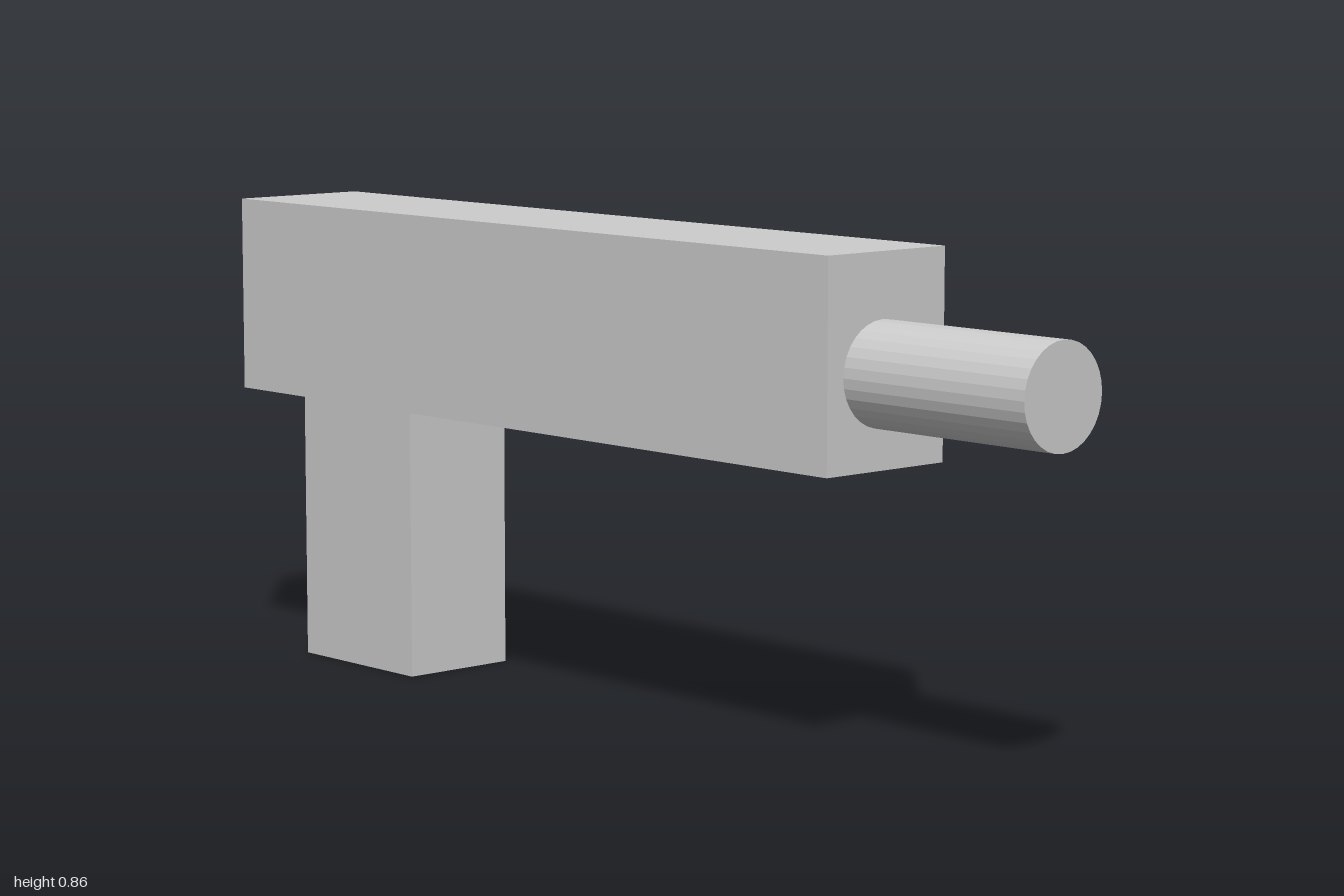
import * as THREE from 'three';

export function createModel() {
  const group = new THREE.Group();
  const grey = new THREE.MeshStandardMaterial({ color: 0xcccccc, flatShading: true });
  grey.name = 'grey';

  const add = (name, geometry, x, y, z) => {
    const mesh = new THREE.Mesh(geometry, grey);
    mesh.name = name;
    mesh.position.set(x, y, z);
    group.add(mesh);
  };

  // Long block on top
  add('body', new THREE.BoxGeometry(1.6, 0.365, 0.273), -0.2, 0.682, 0);

  // Upright grip under the rear end
  add('handle', new THREE.BoxGeometry(0.32, 0.5, 0.227), -0.675, 0.25, 0.003);

  // Round rod out of the front end, set slightly off centre
  const rod = new THREE.CylinderGeometry(0.091, 0.091, 0.4, 32).rotateZ(-Math.PI / 2);
  add('barrel', rod, 0.8, 0.661, 0.009);

  return group;
}
